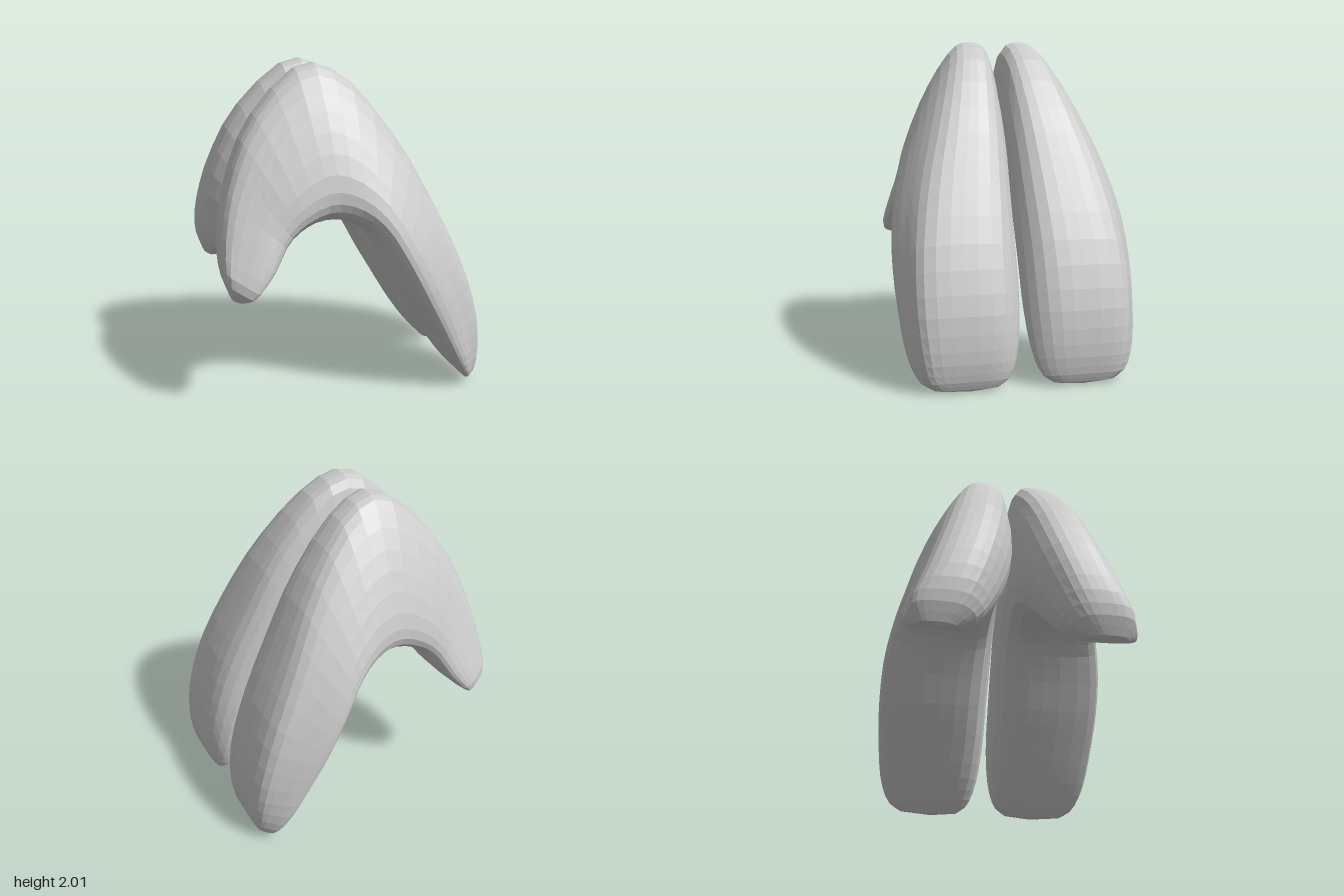
import * as THREE from 'three';

// Stations along the arch, from the short tip to the long tip:
// outer edge x,y | inner edge x,y | medial z, lateral z | ridge centre z, ridge half width
const STATIONS = [
  [-0.765, 0.70, -0.70, 0.69, 0.38, 0.63, 0.51, 0.07],
  [-0.81, 0.84, -0.62, 0.72, 0.25, 0.70, 0.48, 0.14],
  [-0.81, 1.05, -0.50, 0.84, 0.15, 0.68, 0.40, 0.15],
  [-0.74, 1.35, -0.40, 0.98, 0.06, 0.63, 0.31, 0.15],
  [-0.57, 1.70, -0.29, 1.05, 0.01, 0.615, 0.23, 0.14],
  [-0.25, 1.995, -0.15, 1.08, 0.00, 0.61, 0.17, 0.125],
  [0.02, 1.92, -0.01, 1.06, 0.00, 0.64, 0.19, 0.13],
  [0.30, 1.58, 0.11, 0.99, 0.00, 0.69, 0.25, 0.17],
  [0.50, 1.21, 0.22, 0.82, 0.005, 0.735, 0.31, 0.21],
  [0.68, 0.83, 0.33, 0.62, 0.01, 0.745, 0.35, 0.23],
  [0.785, 0.50, 0.45, 0.42, 0.015, 0.73, 0.36, 0.23],
  [0.815, 0.25, 0.58, 0.21, 0.04, 0.70, 0.36, 0.21],
  [0.80, 0.09, 0.68, 0.07, 0.09, 0.64, 0.36, 0.18],
  [0.775, 0.02, 0.73, 0.015, 0.17, 0.55, 0.36, 0.13],
];
const TIPS = [[-0.73, 0.68, 0.51], [0.75, 0, 0.34]];
const RINGS = 32, SIDES = 27;

// Control points of one cross-section: ridge, flared outer flank, underside, flat inner flank
function section([px, py, qx, qy, zi, zo, zt, th]) {
  const at = (u, z) => new THREE.Vector3(qx + (px - qx) * u, qy + (py - qy) * u, z);
  const top = zt + th, w = zo - zi;
  return [
    at(0.93, zt - th), at(1, zt), at(0.93, top),
    at(0.6, top + (zo - top) * 0.58), at(0.24, zo - 0.01),
    at(0.07, zo - 0.1 * w), at(0.0, zi + 0.45 * w),
    at(0.08, zi + 0.1 * w), at(0.55, zi),
  ];
}

// One lobe; side = 1 in front, -1 mirrored behind
function lobeGeometry(side) {
  const sections = STATIONS.map(section);
  const rails = sections[0].map((_, k) =>
    new THREE.CatmullRomCurve3(sections.map((s) => s[k]), false, 'catmullrom', 0.5));
  const pos = [], index = [];
  for (let i = 0; i <= RINGS; i++) {
    const ring = new THREE.CatmullRomCurve3(
      rails.map((r) => r.getPoint(i / RINGS)), true, 'catmullrom', 0.5);
    for (let j = 0; j < SIDES; j++) {
      const p = ring.getPoint(j / SIDES);
      pos.push(p.x, Math.max(p.y, 0), Math.max(p.z, 0.004) * side);
    }
  }
  const tri = (a, b, c) => (side > 0 ? index.push(a, b, c) : index.push(a, c, b));
  for (let i = 0; i < RINGS; i++) {
    for (let j = 0; j < SIDES; j++) {
      const k = (j + 1) % SIDES, a = i * SIDES, b = a + SIDES;
      tri(a + j, a + k, b + j);
      tri(a + k, b + k, b + j);
    }
  }
  // Rounded ends
  TIPS.forEach(([x, y, z], end) => {
    const c = pos.length / 3, base = end * RINGS * SIDES;
    pos.push(x, y, z * side);
    for (let j = 0; j < SIDES; j++) {
      const k = (j + 1) % SIDES;
      if (end) tri(c, base + j, base + k);
      else tri(c, base + k, base + j);
    }
  });
  const g = new THREE.BufferGeometry();
  g.setAttribute('position', new THREE.Float32BufferAttribute(pos, 3));
  g.setIndex(index);
  g.computeVertexNormals();
  return g;
}

export function createModel() {
  const group = new THREE.Group();
  group.name = 'archedLobes';
  const material = new THREE.MeshStandardMaterial({ color: 0xcccccc, flatShading: true });
  for (const [name, side] of [['frontLobe', 1], ['backLobe', -1]]) {
    const lobe = new THREE.Mesh(lobeGeometry(side), material);
    lobe.name = name;
    group.add(lobe);
  }
  return group;
}
